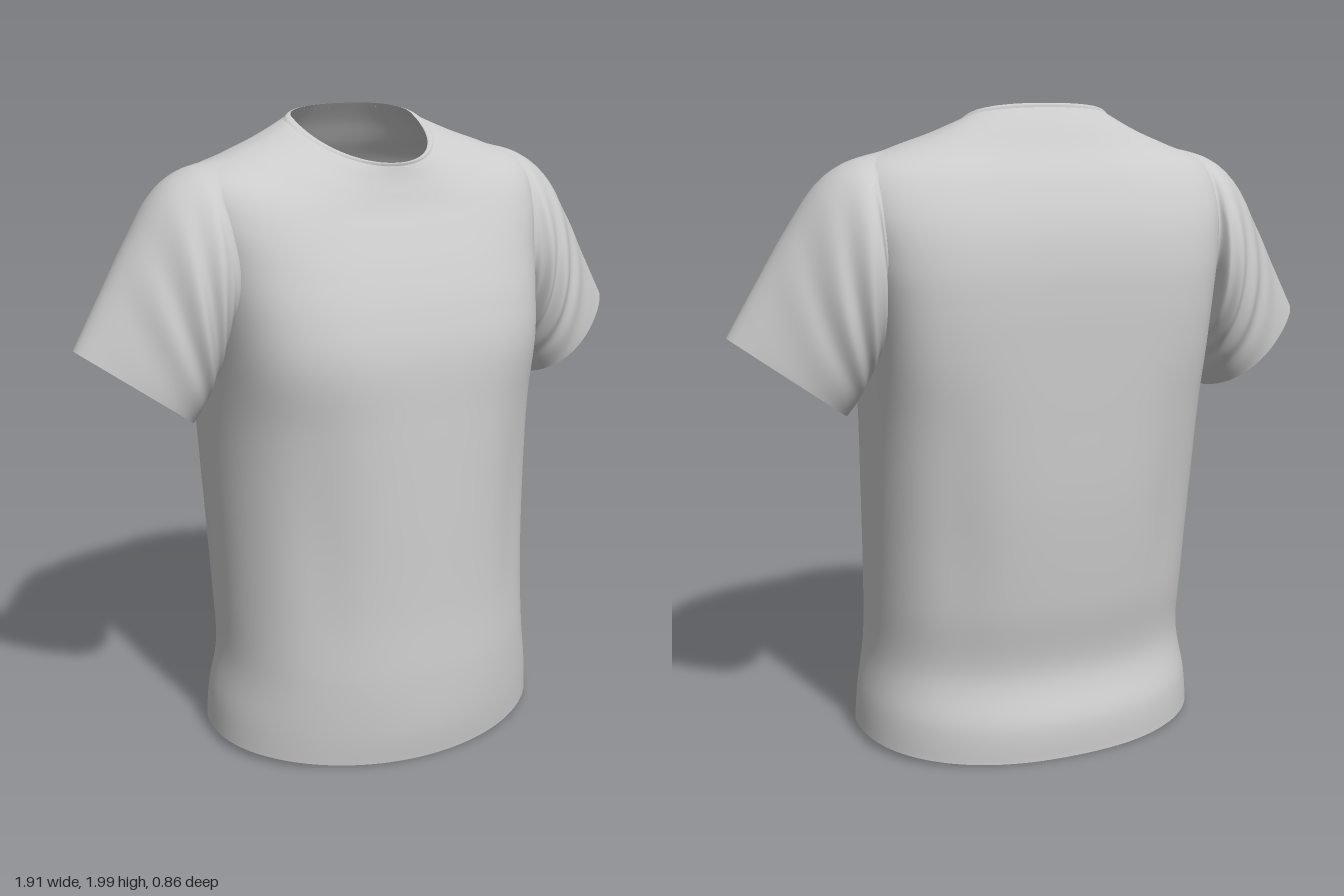
import * as THREE from 'three';

const TAU = Math.PI * 2;
const material = new THREE.MeshStandardMaterial({ color: 0xcccccc, roughness: 0.9, side: THREE.DoubleSide });

// Smoothly sample a table of cross-sections, t in 0..1
function sample(rows, t) {
  const f = t * (rows.length - 1);
  const i = Math.min(Math.floor(f), rows.length - 2);
  const k = f - i;
  const at = (n) => rows[Math.max(0, Math.min(rows.length - 1, n))];
  return rows[i].map((b, c) => {
    const a = at(i - 1)[c], d = at(i + 1)[c], e = at(i + 2)[c];
    return b + 0.5 * k * (d - a + k * (2 * a - 5 * b + 4 * d - e + k * (3 * (b - d) + e - a)));
  });
}

// Closed rings joined into an open tube; cut(angle, t) drops a quad
function loft(name, point, around, along, cut = () => false) {
  const pts = [], index = [];
  for (let j = 0; j <= along; j++) {
    for (let i = 0; i < around; i++) pts.push(point((i / around) * TAU, j / along));
  }
  for (let j = 0; j < along; j++) {
    for (let i = 0; i < around; i++) {
      if (cut(((i + 0.5) / around) * TAU, (j + 0.5) / along)) continue;
      const a = j * around + i, b = j * around + ((i + 1) % around);
      index.push(a, a + around, b, b, a + around, b + around);
    }
  }
  const geometry = new THREE.BufferGeometry().setFromPoints(pts);
  geometry.setIndex(index);
  geometry.computeVertexNormals();
  const mesh = new THREE.Mesh(geometry, material);
  mesh.name = name;
  return mesh;
}

const bump = (x, center, width) => Math.exp(-(((x - center) / width) ** 2));

// Torso: side y, front y, back y, half width, front z, back z, side z, front squareness, back squareness
const torsoRows = [
  [0.035, 0.01, 0.01, 0.567, 0.42, -0.42, 0.0, 2.0, 2.3],
  [0.14, 0.12, 0.12, 0.557, 0.43, -0.415, 0.0, 2.0, 2.3],
  [0.3, 0.28, 0.28, 0.53, 0.427, -0.368, 0.0, 2.1, 2.4],
  [0.5, 0.5, 0.5, 0.528, 0.412, -0.395, -0.01, 2.1, 2.5],
  [0.8, 0.8, 0.8, 0.532, 0.4, -0.418, -0.03, 2.2, 2.7],
  [1.08, 1.08, 1.08, 0.532, 0.387, -0.425, -0.05, 2.5, 3.2],
  [1.28, 1.28, 1.28, 0.537, 0.373, -0.427, -0.06, 3.0, 3.9],
  [1.42, 1.42, 1.42, 0.55, 0.338, -0.427, -0.07, 3.1, 4.0],
  [1.56, 1.54, 1.54, 0.572, 0.29, -0.42, -0.08, 3.0, 3.7],
  [1.72, 1.64, 1.66, 0.595, 0.24, -0.395, -0.08, 2.8, 3.1],
  [1.82, 1.71, 1.78, 0.57, 0.203, -0.342, -0.08, 2.6, 2.6],
  [1.872, 1.76, 1.87, 0.45, 0.182, -0.28, -0.08, 2.3, 2.3],
  [1.915, 1.8, 1.94, 0.33, 0.167, -0.235, -0.09, 2.2, 2.3],
  [1.967, 1.845, 2.0, 0.212, 0.155, -0.19, -0.11, 2.1, 2.4],
];

function torsoPoint(a, t) {
  const [ys, yf, yb, w, zf, zb, zs, nf, nb] = sample(torsoRows, t);
  const c = Math.cos(a), s = Math.sin(a), front = s > 0;
  const n = front ? nf : nb;
  const r = (Math.abs(c) ** n + Math.abs(s) ** n) ** (-1 / n);
  const x = w * c * r, q = Math.abs(s) * r;
  // The slope straightens towards the flat, tilted neckline
  const y = ys + ((front ? yf : yb) - ys) * q ** (2 - t ** 10);
  let z = zs + ((front ? zf : zb) - zs) * q;
  // Soft drape folds running down the sides
  z -= Math.sign(s) * 0.02 * bump(Math.abs(x), 0.36, 0.08) * bump(y, 0.75, 0.35) * Math.abs(s);
  return new THREE.Vector3(x, y, z);
}

// Armhole: an oval on the torso surface, in angle and height
const ARM = { t: 0.66, height: 0.175, angle: 0.62 };
const armholePoint = (b, scale) =>
  torsoPoint(-Math.sin(b) * ARM.angle * scale, ARM.t + Math.cos(b) * ARM.height * scale).toArray();
const inArmhole = (a, t) =>
  (Math.asin(Math.sin(a)) / ARM.angle) ** 2 + ((t - ARM.t) / ARM.height) ** 2 < 0.8;

// Sleeve: top x, top y, bottom x, bottom y, front z, back z, narrowing at the top
const sleeveRows = [
  [0.59, 1.832, 0.54, 1.26, 0.165, -0.345, 0.08],
  [0.68, 1.768, 0.55, 1.215, 0.165, -0.335, 0.14],
  [0.775, 1.635, 0.565, 1.175, 0.15, -0.305, 0.22],
  [0.865, 1.49, 0.585, 1.13, 0.125, -0.27, 0.3],
  [0.957, 1.335, 0.615, 1.085, 0.1, -0.235, 0.36],
];

function sleeveRing([tx, ty, bx, by, zf, zb, narrow], b) {
  const c = Math.cos(b), s = -Math.sin(b), k = (1 + c) / 2;
  const z = (zf + zb) / 2 + ((zf - zb) / 2) * s * (1 - narrow * c);
  return [bx + (tx - bx) * k, by + (ty - by) * k, z];
}

function sleevePoint(b, t) {
  // Leaves the torso surface tangentially from the armhole seam
  const rings = [armholePoint(b, 1.25), armholePoint(b, 1), ...sleeveRows.map((r) => sleeveRing(r, b))];
  const [x, y, z] = sample(rings, (1 + t * (rings.length - 2)) / (rings.length - 1));
  // Creases gather at the front and back, fading towards both ends
  const c = Math.cos(b), s = -Math.sin(b);
  const crease = 0.011 * Math.sin(Math.PI * t) ** 2 * Math.sin(t * 25 + c * 4 + s) * s * s * (1 - 0.3 * c);
  return new THREE.Vector3(x, y, z + Math.sign(s) * crease);
}

export function createModel() {
  const shirt = new THREE.Group();
  shirt.name = 'shortSleevedShirt';

  shirt.add(loft('torso', torsoPoint, 160, 130, inArmhole));

  // Collar band lying just over the neckline
  shirt.add(loft('collar', (a, t) => {
    const lift = 0.003 * Math.sin(Math.PI * t);
    return torsoPoint(a, 0.978 + 0.022 * t).add(new THREE.Vector3(Math.cos(a) * lift, lift, Math.sin(a) * lift));
  }, 96, 4));

  // Mirrored sleeves
  for (const [name, side] of [['leftSleeve', 1], ['rightSleeve', -1]]) {
    const sleeve = loft(name, sleevePoint, 80, 64);
    sleeve.scale.x = side;
    shirt.add(sleeve);
  }
  return shirt;
}
